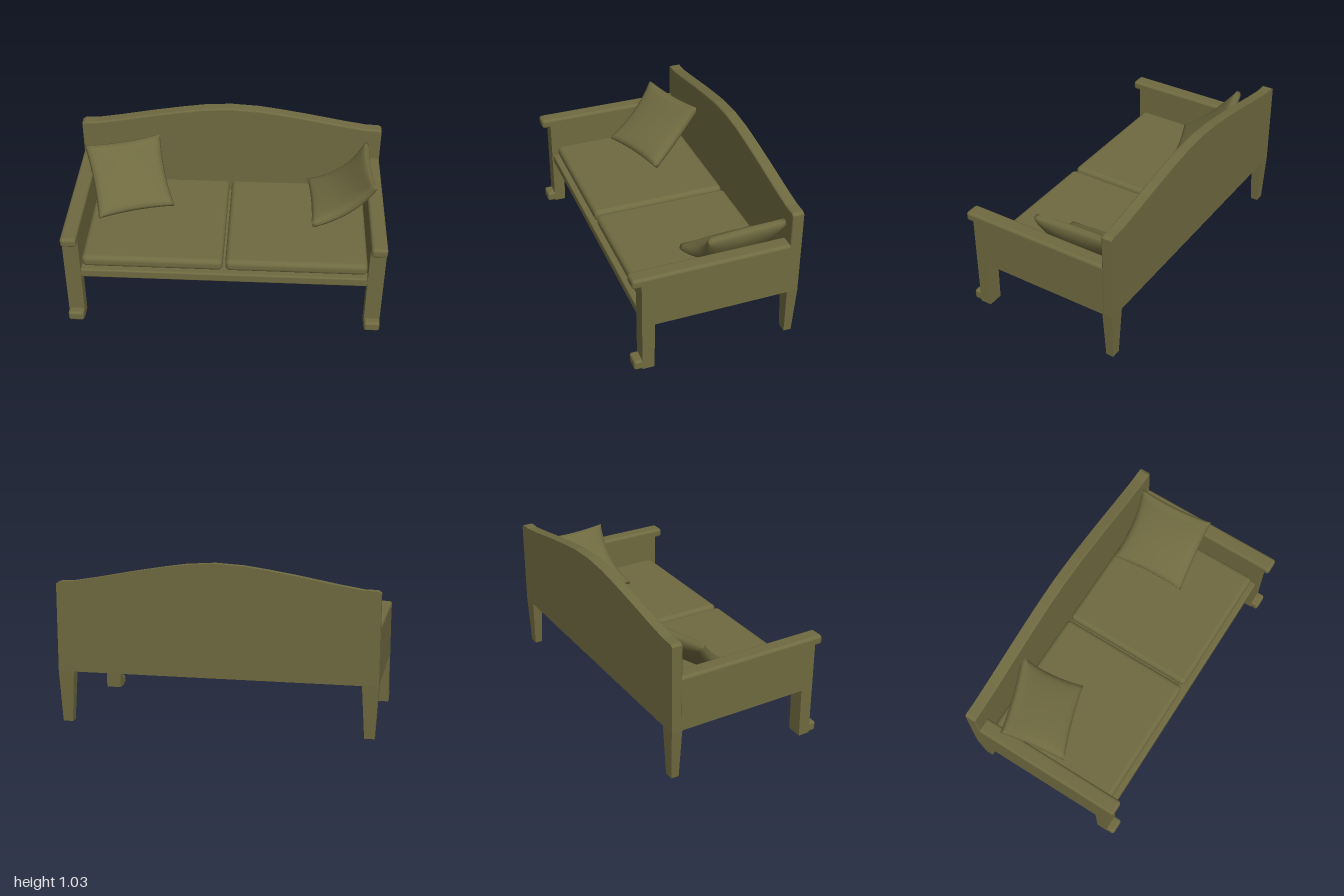
import * as THREE from 'three';
import { mergeVertices } from 'three/addons/utils/BufferGeometryUtils.js';
import { RoundedBoxGeometry } from 'three/addons/geometries/RoundedBoxGeometry.js';

const material = new THREE.MeshStandardMaterial({ color: 0x6f6a40 });

export function createModel() {
  const sofa = new THREE.Group();
  sofa.name = 'sofa';

  const add = (name, geometry) => {
    const mesh = new THREE.Mesh(geometry, material);
    mesh.name = name;
    sofa.add(mesh);
    return mesh;
  };
  // Boxes given by their minimum and maximum corners
  const place = (geo, a, b) => geo.translate(...a.map((v, i) => (v + b[i]) / 2));
  const size = (a, b) => b.map((v, i) => v - a[i]);
  const box = (name, a, b) => add(name, place(new THREE.BoxGeometry(...size(a, b)), a, b));
  const rounded = (name, a, b, r) => add(name, place(new RoundedBoxGeometry(...size(a, b), 3, r), a, b));

  // Camelback panel: plain rear slab and a front slab with softened edges
  const half = [[0.18, 1.017], [0.32, 0.997], [0.5, 0.967], [0.75, 0.92], [0.9, 0.895], [0.98, 0.893], [1, 0.88]];
  const top = [...half.map(([x, y]) => [-x, y]).reverse(), [0, 1.028], ...half];
  const backShape = new THREE.Shape([[-1, 0.325], ...top, [1, 0.325]].reverse().map(p => new THREE.Vector2(...p)));
  add('backPanel', new THREE.ExtrudeGeometry(backShape, { depth: 0.05, bevelEnabled: false }).translate(0, 0, -0.525));
  add('backPanelFront', new THREE.ExtrudeGeometry(backShape, {
    depth: 0.02, bevelSize: 0.01, bevelThickness: 0.01, bevelOffset: -0.01, bevelSegments: 3,
  }).translate(0, 0, -0.485));

  // Seat base with a slim front rail
  box('seatBase', [-0.91, 0.325, -0.48], [0.91, 0.375, 0.45]);
  rounded('frontRail', [-0.91, 0.325, 0.38], [0.91, 0.385, 0.462], 0.01);

  // Side outline in (z, y), including the front leg
  const sideShape = new THREE.Shape([
    [-0.46, 0.325], [0.39, 0.325], [0.395, 0], [0.47, 0], [0.47, 0.65], [-0.46, 0.65],
  ].map(p => new THREE.Vector2(...p)));

  for (const [side, s] of [['left', 1], ['right', -1]]) {
    const x0 = s > 0 ? 0.9 : -1, x1 = x0 + 0.1;
    add(side + 'ArmPanel', new THREE.ExtrudeGeometry(sideShape, { depth: 0.1, bevelEnabled: false })
      .rotateY(-Math.PI / 2).translate(x1, 0, 0));
    rounded(side + 'Armrest', [x0, 0.61, -0.47], [x1, 0.673, 0.525], 0.02);
    rounded(side + 'FrontFoot', [x0, 0, 0.4], [x1, 0.066, 0.52], 0.016);

    // Tapered back leg
    const leg = new THREE.BoxGeometry(0.1, 0.325, 0.07);
    const p = leg.attributes.position;
    for (let i = 0; i < p.count; i++) {
      if (p.getY(i) < 0) { p.setX(i, p.getX(i) * 0.62); p.setZ(i, p.getZ(i) * 0.7); }
    }
    leg.computeVertexNormals();
    add(side + 'BackLeg', leg.translate(s * 0.95, 0.1625, -0.49));

    // Seat cushion
    rounded(side + 'SeatCushion', s > 0 ? [0.008, 0.38, -0.46] : [-0.9, 0.38, -0.46],
      s > 0 ? [0.9, 0.46, 0.43] : [-0.008, 0.46, 0.43], 0.032);
  }

  // Soft pillow: pinched edges, plump middle, sagging across its height
  const pillow = (name, center, u, v, bend) => {
    let geo = new THREE.BoxGeometry(2, 2, 2, 20, 20, 2);
    geo.deleteAttribute('normal');
    geo.deleteAttribute('uv');
    geo = mergeVertices(geo);
    const p = geo.attributes.position;
    for (let i = 0; i < p.count; i++) {
      const a = p.getX(i), b = p.getY(i), c = p.getZ(i);
      const ka = 1 - a * a, kb = 1 - b * b, rim = 1 - 0.04 * Math.abs(c);
      p.setXYZ(i,
        0.255 * a * rim * (1 - 0.06 * kb),
        0.25 * b * rim * (1 - 0.06 * ka),
        c * (0.022 + 0.032 * Math.sqrt(ka * kb)) - bend * kb);
    }
    geo.computeVertexNormals();
    const ux = new THREE.Vector3(...u).normalize();
    const n = ux.clone().cross(new THREE.Vector3(...v)).normalize();
    geo.applyMatrix4(new THREE.Matrix4().makeBasis(ux, n.clone().cross(ux), n).setPosition(...center));
    add(name, geo);
  };
  pillow('rightPillow', [-0.66, 0.64, -0.21], [0.49, 0, -0.17], [-0.14, 0.33, -0.34], 0.025);
  pillow('leftPillow', [0.737, 0.637, -0.197], [0.025, 0, 0.46], [0.39, 0.31, -0.02], 0.055);

  return sofa;
}
